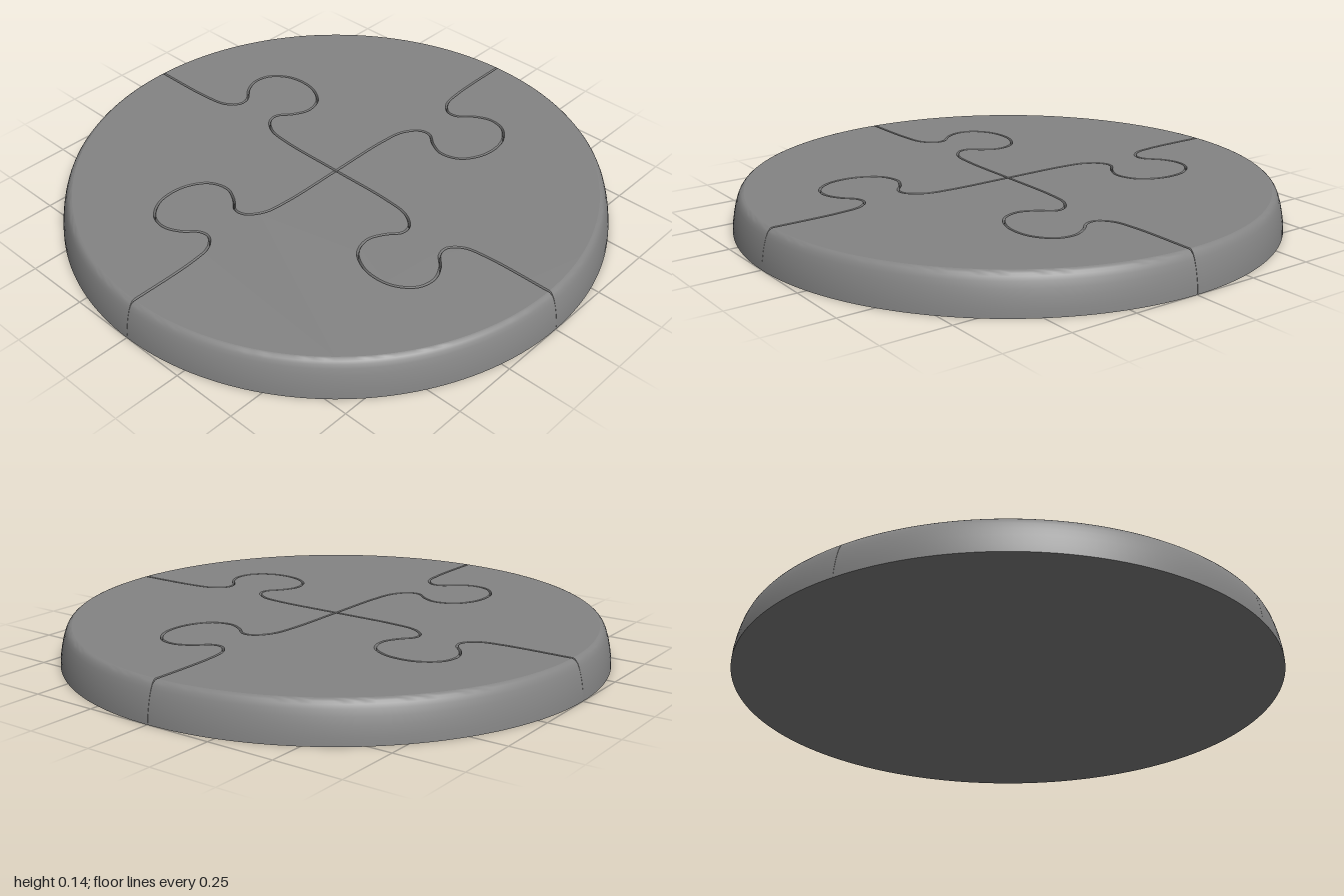
import * as THREE from 'three';
import { toCreasedNormals, mergeGeometries } from 'three/addons/utils/BufferGeometryUtils.js';

// Seam from the centre to the rim, with its knob, as [x, z]
const SEAM = [
  [0, 0], [0.25, 0.002], [0.35, 0.017], [0.405, 0.06], [0.41, 0.1], [0.372, 0.15],
  [0.347, 0.21], [0.367, 0.28], [0.43, 0.325], [0.5, 0.338], [0.57, 0.325], [0.631, 0.275],
  [0.645, 0.21], [0.62, 0.15], [0.577, 0.1], [0.573, 0.06], [0.615, 0.018], [0.7, 0.002], [1, -0.003],
];

// Cross-sections from the base up: height, rim radius, gap at the seams
const LEVELS = [
  [0, 1, 0], [0.03, 0.998, 0.0006], [0.065, 0.992, 0.0006], [0.09, 0.986, 0.0006], [0.112, 0.979, 0.0008],
  [0.125, 0.973, 0.001], [0.133, 0.967, 0.002], [0.138, 0.961, 0.003], [0.14, 0.954, 0.0045],
];

// Outline of one quarter: out along a seam, round the rim, back along the next seam.
// Each entry holds a point, its inward normal and whether it lies on the rim.
function quarterOutline() {
  const curve = new THREE.CatmullRomCurve3(SEAM.map(([x, z]) => new THREE.Vector3(x, 0, z)));
  const n = 130;
  const out = [];
  for (let i = 0; i <= n; i++) {
    const p = curve.getPointAt(i / n);
    const t = curve.getTangentAt(i / n);
    if (p.x > 0.94 && i < n) continue;
    out.push({ x: p.x, z: p.z, nx: -t.z, nz: t.x, rim: i === n });
  }
  // The next seam is the first turned a quarter, with the opposite inner side
  const back = out.slice(1).reverse().map((p) => ({ x: -p.z, z: p.x, nx: p.nz, nz: -p.nx, rim: p.rim }));
  const arc = [];
  for (let i = 1; i < 48; i++) {
    const a = (i / 48) * Math.PI / 2;
    arc.push({ x: Math.cos(a), z: Math.sin(a), nx: 0, nz: 0, rim: true });
  }
  Object.assign(out[0], { nx: 1, nz: 1 });
  return [...out, ...arc, ...back];
}

function pieceGeometry() {
  const outline = quarterOutline();
  const loops = LEVELS.map(([y, r, gap]) => outline.map((p) => {
    const v = new THREE.Vector3(p.x + p.nx * gap, 0, p.z + p.nz * gap);
    if (p.rim || v.length() > r) v.setLength(r);
    return v.setY(y);
  }));
  const build = (points) => new THREE.BufferGeometry().setFromPoints(points);

  // Side walls
  const walls = [];
  for (let k = 0; k < loops.length - 1; k++) {
    for (let i = 0; i < outline.length; i++) {
      const j = (i + 1) % outline.length;
      const a = loops[k][i], b = loops[k][j], c = loops[k + 1][j], d = loops[k + 1][i];
      walls.push(a, c, b, a, d, c);
    }
  }

  // Flat base and top
  const cap = (loop, up) => {
    const faces = THREE.ShapeUtils.triangulateShape(loop.map((v) => new THREE.Vector2(v.x, v.z)), []);
    const geometry = build(faces.flatMap(([a, b, c]) => (up ? [a, c, b] : [a, b, c]).map((i) => loop[i])));
    const normals = new Float32Array(faces.length * 9).map((_, i) => (i % 3 === 1 ? (up ? 1 : -1) : 0));
    return geometry.setAttribute('normal', new THREE.BufferAttribute(normals, 3));
  };

  return mergeGeometries([
    toCreasedNormals(build(walls), 0.7),
    cap(loops[0], false),
    cap(loops[loops.length - 1], true),
  ]);
}

export function createModel() {
  const group = new THREE.Group();
  group.name = 'roundPuzzle';
  const geometry = pieceGeometry();
  const material = new THREE.MeshStandardMaterial({ color: 0x858585 });
  // Four identical interlocking pieces
  ['frontLeftPiece', 'backLeftPiece', 'backRightPiece', 'frontRightPiece'].forEach((name, i) => {
    const piece = new THREE.Mesh(geometry, material);
    piece.name = name;
    piece.rotation.y = i * Math.PI / 2;
    group.add(piece);
  });
  return group;
}
